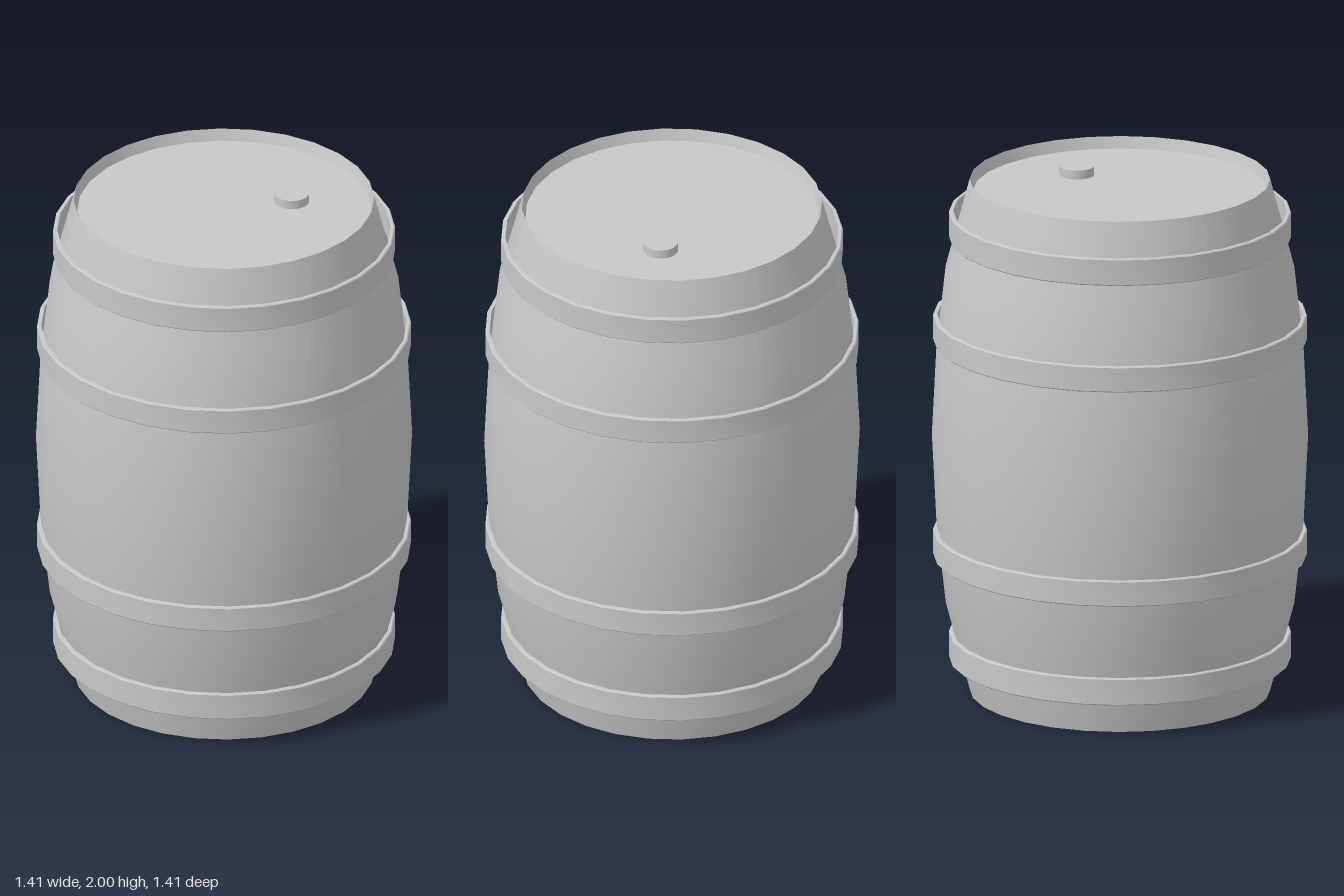
import * as THREE from 'three';
import { toCreasedNormals } from 'three/addons/utils/BufferGeometryUtils.js';

const SIDES = 28;

export function createModel() {
  const barrel = new THREE.Group();
  barrel.name = 'barrel';
  const grey = new THREE.MeshStandardMaterial({ color: 0xc8c8c8 });
  grey.name = 'grey';

  // Turned part from [radius, height] pairs, smooth around and sharp at the rims
  function turned(name, profile) {
    const points = profile.map(([r, y]) => new THREE.Vector2(r, y));
    const mesh = new THREE.Mesh(toCreasedNormals(new THREE.LatheGeometry(points, SIDES), 0.5), grey);
    mesh.name = name;
    barrel.add(mesh);
    return mesh;
  }

  // Bulging body with a shallow recessed head at both ends
  const lower = [[0, 0.045], [0.552, 0.045], [0.565, 0], [0.655, 0.34], [0.69, 0.66]];
  const upper = lower.map(([r, y]) => [r, 2 - y]).reverse();
  turned('body', [...lower, [0.707, 1], ...upper]);

  // Four hoops, mirrored about the middle
  const hoops = [
    ['outerHoop', 0.643, 0.125, 0.23],
    ['innerHoop', 0.703, 0.53, 0.63],
  ];
  for (const [name, r, y0, y1] of hoops) {
    for (const [end, a, b] of [['Lower', y0, y1], ['Upper', 2 - y1, 2 - y0]]) {
      const inner = r - 0.016, bevel = 0.004;
      turned(name + end, [
        [inner, a], [r - bevel, a], [r, a + bevel],
        [r, b - bevel], [r - bevel, b], [inner, b], [inner, a],
      ]);
    }
  }

  // Bung in the top head
  const bung = new THREE.Mesh(new THREE.CylinderGeometry(0.065, 0.065, 0.05, 24), grey);
  bung.name = 'bung';
  bung.position.set(0.263, 1.965, 0);
  barrel.add(bung);

  return barrel;
}
